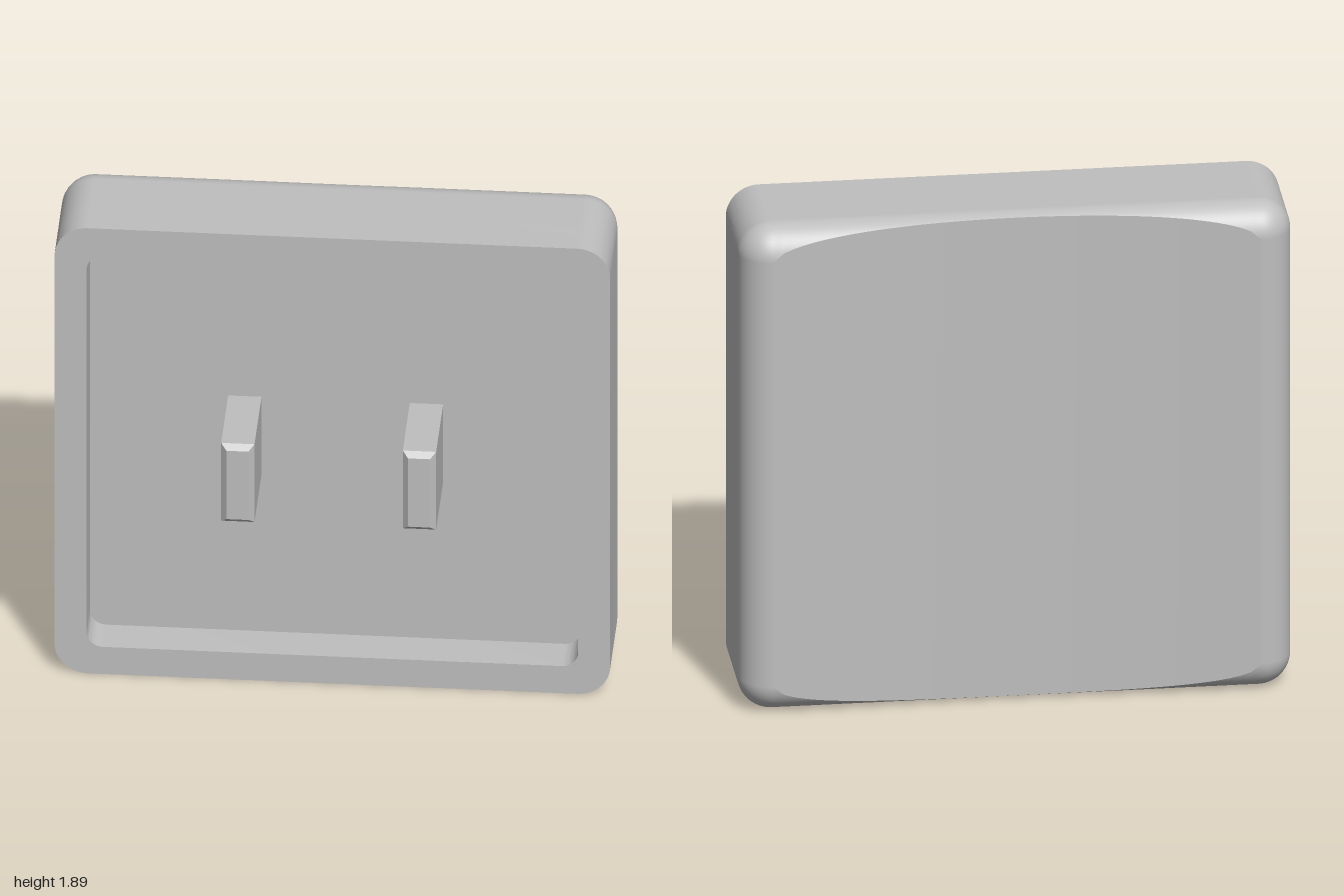
import * as THREE from 'three';
import { toCreasedNormals } from 'three/addons/utils/BufferGeometryUtils.js';

const W = 1, H = 0.945;            // half width and half height of the cap
const R = 0.12;                    // corner and back edge radius
const FRONT = 0.13, FLOOR = -0.02, SHOULDER = -0.2;
const DISH_R = 6;                  // radius of the scooped back

// z of the cylindrical scoop at a given x
const dishZ = (x) => -0.255 - (DISH_R - Math.sqrt(DISH_R * DISH_R - x * x));

// rounded rectangle outline, centred
function roundedRect(target, w, h, r) {
  target.moveTo(w, h - r);
  target.absarc(w - r, h - r, r, 0, Math.PI / 2);
  target.absarc(r - w, h - r, r, Math.PI / 2, Math.PI);
  target.absarc(r - w, r - h, r, Math.PI, Math.PI * 1.5);
  target.absarc(w - r, r - h, r, Math.PI * 1.5, Math.PI * 2);
  target.closePath();
  return target;
}

// angle at which the edge rounding runs into the scoop
function meetAngle({ x, nx }) {
  const above = (t) => SHOULDER - R * Math.sin(t) > dishZ(x + nx * R * Math.cos(t));
  if (above(Math.PI / 2)) return Math.PI / 2;
  let lo = 0, hi = Math.PI / 2;
  for (let i = 0; i < 30; i++) {
    const mid = (lo + hi) / 2;
    if (above(mid)) lo = mid; else hi = mid;
  }
  return lo;
}

// points of the inner rectangle with their outward directions, counter-clockwise
function perimeter() {
  const pts = [], cx = W - R, cy = H - R, corner = 12, edge = 48;
  const addCorner = (x, y, start) => {
    for (let i = 0; i <= corner; i++) {
      const a = start + (i / corner) * Math.PI / 2;
      pts.push({ x, y, nx: Math.cos(a), ny: Math.sin(a) });
    }
  };
  const addEdge = (s) => {
    for (let i = 1; i < edge; i++) pts.push({ x: s * cx * (1 - 2 * i / edge), y: s * cy, nx: 0, ny: s });
  };
  addCorner(cx, cy, 0);
  addEdge(1);
  addCorner(-cx, cy, Math.PI / 2);
  addCorner(-cx, -cy, Math.PI);
  addEdge(-1);
  addCorner(cx, -cy, Math.PI * 1.5);
  pts.push(pts[0]);
  return pts;
}

function buildGeometry(pos, index, normals) {
  const g = new THREE.BufferGeometry();
  g.setAttribute('position', new THREE.Float32BufferAttribute(pos, 3));
  g.setIndex(index);
  if (normals) g.setAttribute('normal', new THREE.Float32BufferAttribute(normals, 3));
  else g.computeVertexNormals();
  return g;
}

// rear side wall and rounded back edge, trimmed by the scoop
function shoulderGeometry() {
  const pts = perimeter(), n = pts.length, rows = 12;
  const pos = [], nor = [], idx = [];
  for (let i = -1; i <= rows; i++) {
    for (const p of pts) {
      const t = Math.max(i, 0) / rows * meetAngle(p), c = Math.cos(t), s = Math.sin(t);
      pos.push(p.x + p.nx * R * c, p.y + p.ny * R * c, i < 0 ? FLOOR : SHOULDER - R * s);
      nor.push(p.nx * c, p.ny * c, -s);
    }
  }
  for (let i = 0; i <= rows; i++) {
    for (let j = 0; j < n - 1; j++) {
      const a = i * n + j, b = a + 1, c = a + n, d = c + 1;
      idx.push(a, c, b, b, c, d);
    }
  }
  return buildGeometry(pos, idx, nor);
}

// scooped back face, in strips across x
function dishGeometry() {
  const pos = [], idx = [], steps = 48, cx = W - R;
  for (let i = 0; i <= steps; i++) {
    const x = cx * (1 - 2 * i / steps);
    const t = meetAngle({ x, nx: 0 });
    const y = H - R + R * Math.cos(t), z = SHOULDER - R * Math.sin(t);
    pos.push(x, y, z, x, -y, z);
    if (i < steps) {
      const a = i * 2;
      idx.push(a, a + 1, a + 2, a + 2, a + 1, a + 3);
    }
  }
  return buildGeometry(pos, idx);
}

export function createModel() {
  const model = new THREE.Group();
  model.name = 'keycap';
  const grey = new THREE.MeshStandardMaterial({ color: 0xbfbfbf });
  grey.name = 'grey plastic';

  const cap = new THREE.Group();
  cap.name = 'cap';
  cap.position.y = H;
  model.add(cap);
  const add = (name, geometry) => {
    const mesh = new THREE.Mesh(geometry, grey);
    mesh.name = name;
    cap.add(mesh);
    return mesh;
  };

  // front rim with the hollow inside
  const rim = roundedRect(new THREE.Shape(), W, H, R);
  rim.holes.push(roundedRect(new THREE.Path(), 0.885, 0.83, 0.06));
  const rimGeo = new THREE.ExtrudeGeometry(rim, { depth: FRONT - FLOOR, bevelEnabled: false, curveSegments: 12 });
  add('rim', toCreasedNormals(rimGeo, 0.6)).position.z = FLOOR;

  // floor of the hollow
  const floor = new THREE.ShapeGeometry(roundedRect(new THREE.Shape(), 0.885, 0.83, 0.06), 12);
  add('hollowFloor', floor).position.z = FLOOR;

  add('roundedShoulder', shoulderGeometry());
  add('scoopedBack', dishGeometry());

  // two mounting prongs with chamfered tips
  const w = 0.04, h = 0.145, depth = 0.34;
  const outline = new THREE.Shape([
    new THREE.Vector2(-w, -h), new THREE.Vector2(w, -h), new THREE.Vector2(w, h), new THREE.Vector2(-w, h),
  ]);
  const prong = new THREE.ExtrudeGeometry(outline, {
    depth, bevelEnabled: true, bevelSegments: 1, bevelSize: 0.02, bevelThickness: 0.02,
  });
  for (const [name, side] of [['leftProng', 1], ['rightProng', -1]]) {
    add(name, prong).position.set(side * 0.327, 0, 0.30 - depth);
  }
  return model;
}
